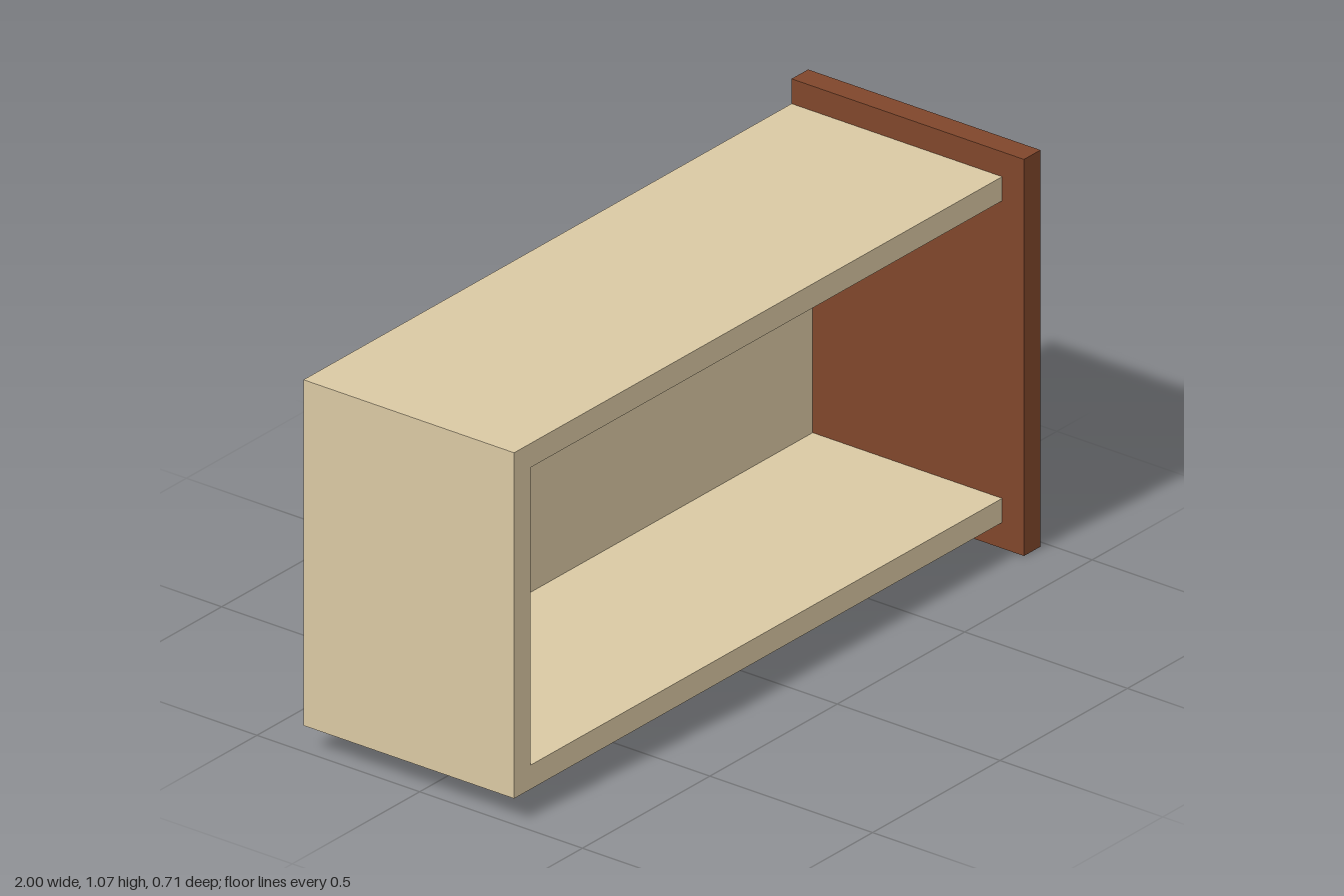
import * as THREE from 'three';

const paint = (color) => new THREE.MeshStandardMaterial({ color });

// Box given by its minimum and maximum corners
function block(name, material, [x0, y0, z0], [x1, y1, z1]) {
  const mesh = new THREE.Mesh(new THREE.BoxGeometry(x1 - x0, y1 - y0, z1 - z0), material);
  mesh.name = name;
  mesh.position.set((x0 + x1) / 2, (y0 + y1) / 2, (z0 + z1) / 2);
  return mesh;
}

// Closed outline from corner points
const outline = (points, Type = THREE.Shape) => new Type(points.map(([x, y]) => new THREE.Vector2(x, y)));
const rect = (x0, y0, x1, y1) => [[x0, y0], [x1, y0], [x1, y1], [x0, y1]];

export function createModel() {
  const model = new THREE.Group();
  model.name = 'drawer';
  const paleWood = paint(0xdac8a3);
  const darkWood = paint(0x7f462b);
  const metal = paint(0xb2b2b2);

  const wall = 0.065;
  const left = -1, panelBack = 0.915, panelFront = 0.98;
  const low = 0.07, high = 1.003, back = -0.357, rim = 0.29;

  // Drawer walls: a C-shaped profile whose open end meets the face panel
  const walls = outline([
    [left, low], [panelBack, low], [panelBack, low + wall], [left + wall, low + wall],
    [left + wall, high - wall], [panelBack, high - wall], [panelBack, high], [left, high],
  ]);
  const tray = new THREE.Mesh(
    new THREE.ExtrudeGeometry(walls, { depth: rim - back - wall, bevelEnabled: false }), paleWood);
  tray.name = 'drawerWalls';
  tray.position.z = back + wall;
  model.add(tray);

  // Base board closing the tray
  model.add(block('drawerBase', paleWood, [left, low, back], [panelBack, high, back + wall]));

  // Face panel, overlapping the tray on three sides
  model.add(block('facePanel', darkWood, [panelBack, 0, -0.357], [panelFront, 1.07, 0.357]));

  // Handle frame: drawn in (-z, y), then turned to face +x
  const frame = outline(rect(-0.069, 0.357, 0.075, 0.712));
  frame.holes.push(outline(rect(-0.022, 0.403, 0.045, 0.667), THREE.Path));
  const handle = new THREE.Mesh(
    new THREE.ExtrudeGeometry(frame, { depth: 1 - panelFront, bevelEnabled: false }), metal);
  handle.name = 'handle';
  handle.rotation.y = Math.PI / 2;
  handle.position.x = panelFront;
  model.add(handle);

  return model;
}
